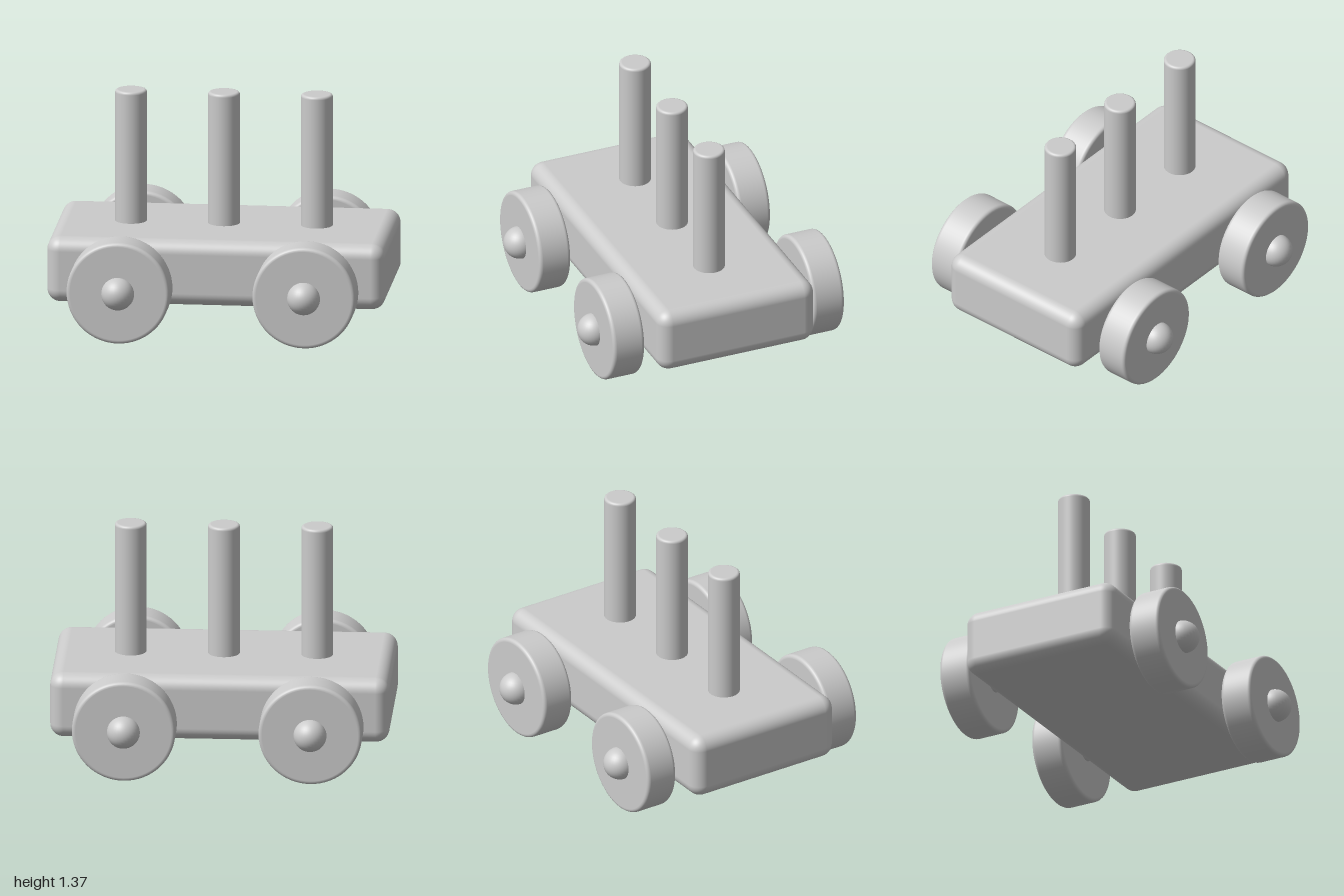
import * as THREE from 'three';
import { RoundedBoxGeometry } from 'three/addons/geometries/RoundedBoxGeometry.js';

const material = new THREE.MeshStandardMaterial({ color: 0xcccccc });

// Solid disc or rod along y, centred on the origin, with rounded rims
function roundedCylinder(radius, height, bevel) {
  const h = height / 2, steps = 5, pad = bevel * 0.1;
  const points = [new THREE.Vector2(0, -h), new THREE.Vector2(radius - bevel - pad, -h)];
  for (const end of [-1, 1]) {
    for (let i = 0; i <= steps; i++) {
      const a = (Math.PI / 2) * (end < 0 ? i / steps - 1 : i / steps);
      points.push(new THREE.Vector2(
        radius - bevel + bevel * Math.cos(a),
        end * (h - bevel) + bevel * Math.sin(a)));
    }
    // Short strips beside the rims keep the wall shading straight
    if (end < 0) {
      points.push(new THREE.Vector2(radius, -h + bevel + pad), new THREE.Vector2(radius, h - bevel - pad));
    }
  }
  points.push(new THREE.Vector2(radius - bevel - pad, h), new THREE.Vector2(0, h));
  return new THREE.LatheGeometry(points, 64);
}

export function createModel() {
  const model = new THREE.Group();
  model.name = 'woodenPegCart';

  function add(name, geometry, x, y, z) {
    const mesh = new THREE.Mesh(geometry, material);
    mesh.name = name;
    mesh.position.set(x, y, z);
    model.add(mesh);
    return mesh;
  }

  // Rounded block
  add('body', new RoundedBoxGeometry(2, 0.395, 1, 6, 0.08), 0, 0.3725, 0);

  // Three upright pegs set into the block
  const pegGeometry = roundedCylinder(0.0935, 0.965, 0.015);
  for (const x of [-0.55, 0, 0.55]) add('peg', pegGeometry, x, 0.8825, 0);

  // Axles with a wheel and a round cap at each end
  const axleHeight = 0.305;
  const axleGeometry = new THREE.CylinderGeometry(0.0625, 0.0625, 1.48, 32).rotateX(Math.PI / 2);
  const wheelGeometry = roundedCylinder(0.305, 0.2, 0.02).rotateX(Math.PI / 2);
  const capGeometry = new THREE.SphereGeometry(0.0975, 32, 20);
  for (const x of [-0.55, 0.55]) {
    add('axle', axleGeometry, x, axleHeight, 0);
    for (const side of [-1, 1]) {
      add('wheel', wheelGeometry, x, axleHeight, side * 0.64);
      add('axleCap', capGeometry, x, axleHeight, side * 0.738);
    }
  }

  return model;
}
